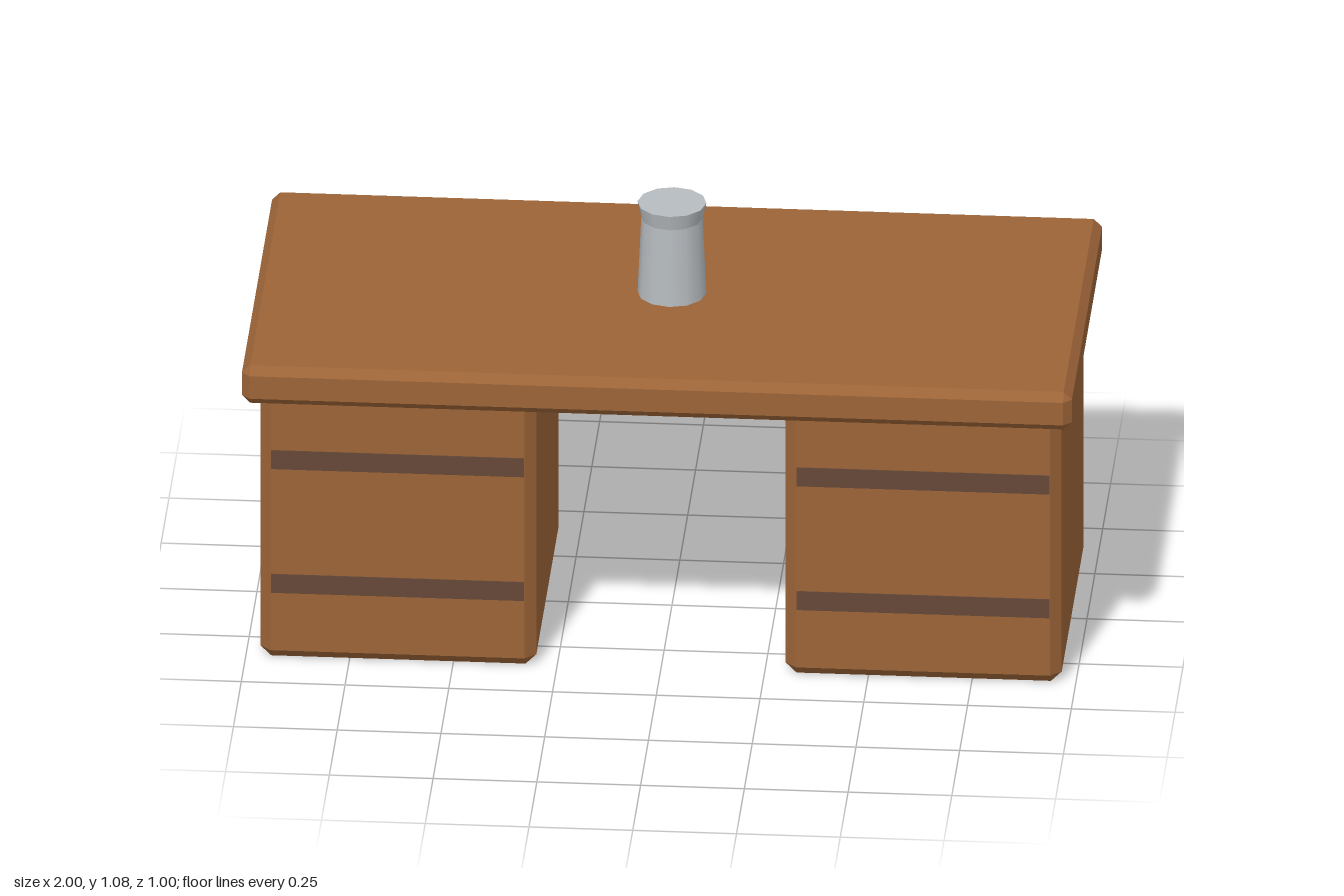
import * as THREE from 'three';
import { ConvexGeometry } from 'three/addons/geometries/ConvexGeometry.js';

// Box with flat 45-degree chamfers on every edge
function chamferBox(w, h, d, c) {
  const points = [];
  for (const x of [-1, 1]) for (const y of [-1, 1]) for (const z of [-1, 1]) {
    const X = w / 2, Y = h / 2, Z = d / 2;
    points.push(
      new THREE.Vector3(x * X, y * (Y - c), z * (Z - c)),
      new THREE.Vector3(x * (X - c), y * Y, z * (Z - c)),
      new THREE.Vector3(x * (X - c), y * (Y - c), z * Z));
  }
  return new ConvexGeometry(points);
}

export function createModel() {
  const model = new THREE.Group();
  model.name = 'desk';
  const material = (name, color) => {
    const m = new THREE.MeshStandardMaterial({ color });
    m.name = name;
    return m;
  };
  const wood = material('brown wood', 0x9c6437);
  const slot = material('dark drawer gap', 0x654837);
  const metal = material('grey metal', 0xb7bcc0);

  const add = (parent, name, geometry, mat, x, y, z) => {
    const mesh = new THREE.Mesh(geometry, mat);
    mesh.name = name;
    mesh.position.set(x, y, z);
    parent.add(mesh);
    return mesh;
  };

  // Table top
  add(model, 'tableTop', chamferBox(2, 0.1, 1, 0.02), wood, 0, 0.785, 0);

  // Drawer pedestals with two dark gaps on the front
  const body = chamferBox(0.665, 0.735, 0.75, 0.026);
  const gap = new THREE.BoxGeometry(0.61, 0.05, 0.004);
  for (const side of [-1, 1]) {
    const pedestal = new THREE.Group();
    pedestal.name = side > 0 ? 'leftPedestal' : 'rightPedestal';
    pedestal.position.x = side * 0.633;
    add(pedestal, 'pedestalBody', body, wood, 0, 0.3675, 0);
    for (const y of [0.205, 0.535]) add(pedestal, 'drawerGap', gap, slot, 0, y, 0.375);
    model.add(pedestal);
  }

  // Tapered cup with a flared rim and a closed top
  const cup = new THREE.Group();
  cup.name = 'cup';
  add(cup, 'cupBody', new THREE.CylinderGeometry(0.074, 0.083, 0.202, 12, 1, true), metal, 0, 0.934, 0);
  add(cup, 'cupRim', new THREE.CylinderGeometry(0.083, 0.074, 0.04, 12, 1, true), metal, 0, 1.055, 0);
  const lid = add(cup, 'cupTop', new THREE.CircleGeometry(0.083, 12), metal, 0, 1.075, 0);
  lid.rotation.x = -Math.PI / 2;
  model.add(cup);

  return model;
}
